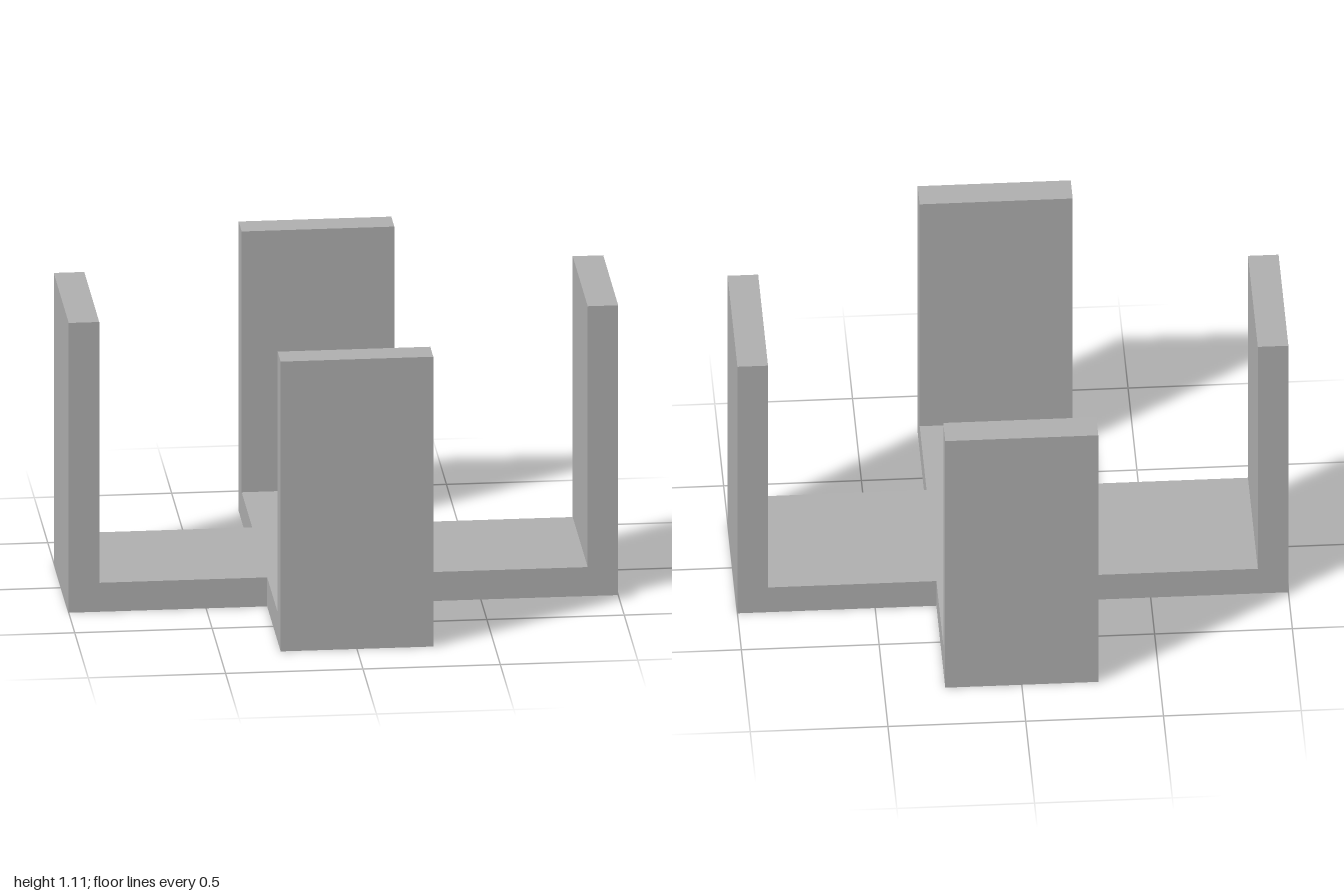
import * as THREE from 'three';

const T = 1 / 9;           // plate thickness
const H = 10 / 9;          // overall height
const A = 2.5 / 9;         // half width of each arm
const X = 1, Z = 7 / 9;    // reach of the arms

export function createModel() {
  const group = new THREE.Group();
  const grey = new THREE.MeshStandardMaterial({ color: 0xb2b2b2 });
  grey.name = 'grey';

  // Cross-shaped floor plate
  const cross = new THREE.Shape([
    [X, -A], [X, A], [A, A], [A, Z], [-A, Z], [-A, A],
    [-X, A], [-X, -A], [-A, -A], [-A, -Z], [A, -Z], [A, -A],
  ].map(([x, y]) => new THREE.Vector2(x, y)));
  const floorGeometry = new THREE.ExtrudeGeometry(cross, { depth: T, bevelEnabled: false });
  floorGeometry.rotateX(-Math.PI / 2);
  const floor = new THREE.Mesh(floorGeometry, grey);
  floor.name = 'crossFloor';
  group.add(floor);

  // Upright wall at the end of each arm
  const addWall = (name, width, depth, x, z) => {
    const wall = new THREE.Mesh(new THREE.BoxGeometry(width, H - T, depth), grey);
    wall.name = name;
    wall.position.set(x, (H + T) / 2, z);
    group.add(wall);
  };
  addWall('leftWall', T, 2 * A, X - T / 2, 0);
  addWall('rightWall', T, 2 * A, -X + T / 2, 0);
  addWall('frontWall', 2 * A, T, 0, Z - T / 2);
  addWall('backWall', 2 * A, T, 0, -Z + T / 2);

  return group;
}
